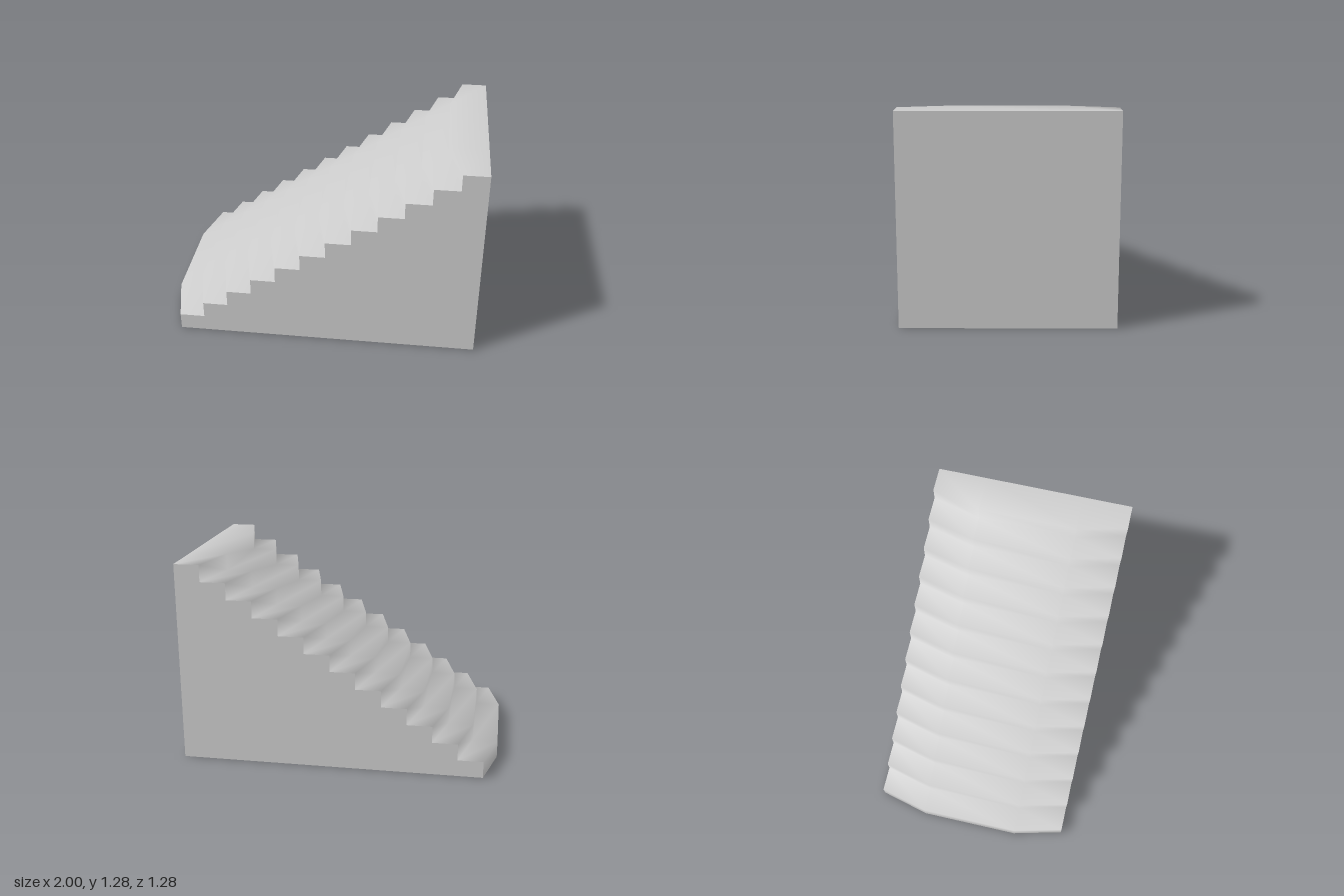
import * as THREE from 'three';

const STEPS = 12, RUN = 0.16, HEIGHT = 1.28, HALF = 0.64, BACK = 1;
const RISE = HEIGHT / STEPS;
// Plan of one step front: z position and how far it is set back
const PLAN = [[-HALF, 0.08], [-HALF / 2, 0], [HALF / 2, 0], [HALF, 0.08]];

// Stair line in the x-y plane for a given setback
function stairLine(setback) {
  const pts = [];
  for (let i = 0; i < STEPS; i++) {
    const x = -1 + i * RUN + setback;
    pts.push([x, i * RISE], [x, (i + 1) * RISE]);
  }
  pts.push([BACK, HEIGHT]);
  return pts;
}

// Softly shaded treads and risers, lofted between the stair lines
function stepsGeometry() {
  const pos = [], index = [], n = STEPS * 2 + 1;
  for (const [z, setback] of PLAN)
    for (const [x, y] of stairLine(setback)) pos.push(x, y, z);
  for (let j = 0; j < PLAN.length - 1; j++)
    for (let k = 0; k < n - 1; k++) {
      const a = j * n + k, b = a + n;
      index.push(a, b, a + 1, b, b + 1, a + 1);
    }
  const g = new THREE.BufferGeometry();
  g.setAttribute('position', new THREE.Float32BufferAttribute(pos, 3));
  g.setIndex(index);
  g.computeVertexNormals();
  return g;
}

function flat(points) {
  return new THREE.ShapeGeometry(new THREE.Shape(points.map(([x, y]) => new THREE.Vector2(x, y))));
}

export function createModel() {
  const group = new THREE.Group();
  group.name = 'staircase';
  const material = new THREE.MeshStandardMaterial({ color: 0xcccccc });
  const add = (name, geometry) => {
    const mesh = new THREE.Mesh(geometry, material);
    mesh.name = name;
    group.add(mesh);
  };

  add('steps', stepsGeometry());

  // Stepped side walls
  const side = [...stairLine(PLAN[0][1]), [BACK, 0]];
  add('frontWall', flat(side).translate(0, 0, HALF));
  add('rearWall', flat(side.map(([x, y]) => [-x, y])).rotateY(Math.PI).translate(0, 0, -HALF));

  // Tall end wall
  add('endWall', new THREE.PlaneGeometry(HALF * 2, HEIGHT).rotateY(Math.PI / 2).translate(BACK, HEIGHT / 2, 0));

  // Underside follows the plan of the lowest step
  const base = [...PLAN.map(([z, s]) => [-1 + s, z]), [BACK, HALF], [BACK, -HALF]];
  add('underside', flat(base).rotateX(Math.PI / 2));

  return group;
}
